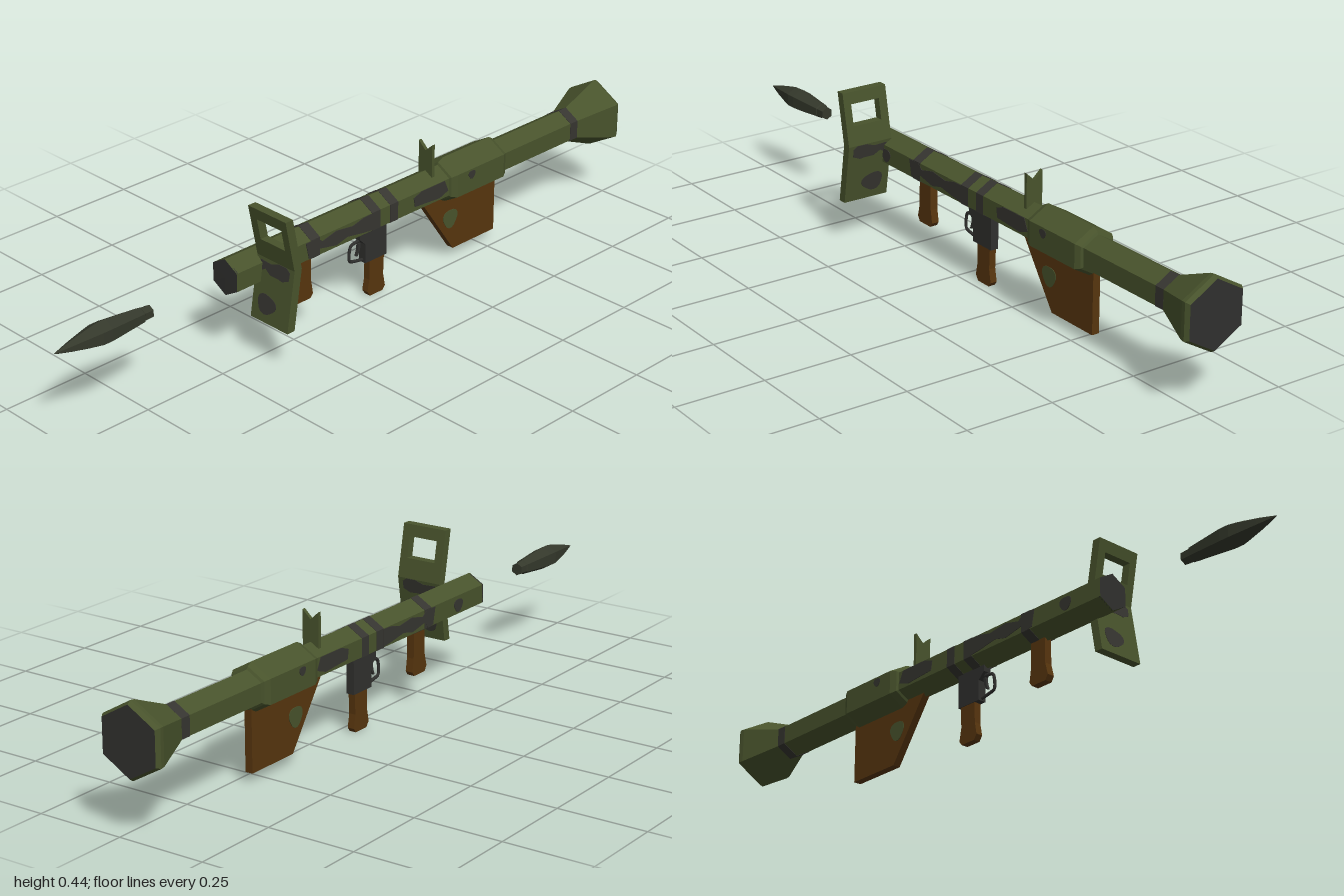
import * as THREE from 'three';

const AX = -0.0375, AY = 0.248; // axis of the tube

const paint = (name, color) => {
  const m = new THREE.MeshStandardMaterial({ color });
  m.name = name;
  return m;
};

// hard-edged faces
function facet(geo) {
  const g = geo.index ? geo.toNonIndexed() : geo;
  g.computeVertexNormals();
  return g;
}

export function createModel() {
  const green = paint('olive green', 0x48532c);
  const dark = paint('camouflage grey', 0x363530);
  const metal = paint('dark metal', 0x30302e);
  const wood = paint('brown wood', 0x57350e);
  const shell = paint('rocket grey green', 0x34382b);

  const model = new THREE.Group();
  const add = (name, geo, mat) => {
    const mesh = new THREE.Mesh(geo, mat);
    mesh.name = name;
    model.add(mesh);
    return mesh;
  };
  const shapeOf = (pts) => new THREE.Shape(pts.map(([a, b]) => new THREE.Vector2(a, b)));

  // six-sided body around the tube axis, from [radius, z] pairs in rising z
  const hex = (name, pts, mat) => {
    const g = new THREE.LatheGeometry(pts.map(([r, z]) => new THREE.Vector2(r, z)), 6);
    g.rotateX(Math.PI / 2).translate(AX, AY, 0);
    return add(name, facet(g), mat);
  };
  // side profile in [z, y], extruded across x
  const slab = (name, pts, width, mat, x = AX) => {
    const g = new THREE.ExtrudeGeometry(shapeOf(pts), { depth: width, bevelEnabled: false });
    g.rotateY(-Math.PI / 2).translate(x + width / 2, 0, 0);
    return add(name, g, mat);
  };
  // irregular rounded outline
  const blob = (cx, cy, rx, ry, phase = 0, n = 18) => Array.from({ length: n }, (_, i) => {
    const a = (i / n) * Math.PI * 2;
    const k = 0.93 + 0.09 * Math.sin(3 * a + phase);
    return [cx + rx * k * Math.cos(a), cy + ry * k * Math.sin(a)];
  });

  // launch tube, sleeve and flared rear
  hex('tube', [[0.052, -0.87], [0.052, 0.45]], green);
  hex('muzzleCap', [[0, 0.445], [0.052, 0.445], [0.052, 0.45], [0, 0.4505]], metal);
  hex('sleeve', [[0.05, -0.555], [0.059, -0.55], [0.068, -0.535], [0.068, -0.35], [0.059, -0.332], [0.05, -0.328]], green);
  hex('rearFlare', [[0.093, -1], [0.101, -0.988], [0.099, -0.975], [0.053, -0.862], [0.05, -0.858]], green);
  hex('rearCap', [[0, -1], [0.093, -1], [0.093, -0.998]], metal);

  // camouflage bands around the tube
  for (const [z0, z1] of [[-0.862, -0.832], [-0.13, -0.1], [-0.063, -0.032], [0.16, 0.192]]) {
    hex('camouflageBand', [[0.05, z0], [0.0532, z0], [0.0532, z1], [0.05, z1]], dark);
  }
  // camouflage patches on both flat sides
  for (const s of [-1, 1]) {
    const x = AX + s * 0.0447;
    slab('camouflagePatch', [[0.21, 0.272], [0.2, 0.225], [0.175, 0.222], [0.16, 0.24], [0.1, 0.228], [0.06, 0.238],
      [0, 0.228], [-0.035, 0.224], [-0.035, 0.273], [0.0, 0.272], [0.04, 0.262], [0.1, 0.27], [0.15, 0.258], [0.17, 0.273]], 0.004, dark, x);
    slab('camouflagePatch', [[-0.195, 0.235], [-0.19, 0.262], [-0.22, 0.273], [-0.31, 0.273], [-0.325, 0.24], [-0.29, 0.228], [-0.24, 0.232]], 0.004, dark, x);
    slab('camouflagePatch', blob(0.325, 0.247, 0.022, 0.02), 0.004, dark, x);
    slab('sleeveSpot', blob(-0.405, 0.266, 0.014, 0.013), 0.004, dark, AX + s * 0.0583);
  }

  // wooden stock and grips
  slab('stock', [[-0.25, 0.22], [-0.265, 0.2], [-0.385, 0.027], [-0.552, 0.027], [-0.552, 0.22]], 0.022, wood);
  slab('stockSpot', blob(-0.372, 0.125, 0.03, 0.03), 0.025, green);
  slab('frontGrip', [[0.212, 0.22], [0.213, 0.13], [0.222, 0.095], [0.213, 0.08], [0.163, 0.08], [0.154, 0.092], [0.16, 0.13], [0.16, 0.22]], 0.022, wood);
  slab('rearGrip', [[-0.058, 0.115], [-0.057, 0.05], [-0.05, 0.015], [-0.06, 0], [-0.108, 0], [-0.117, 0.012], [-0.11, 0.05], [-0.113, 0.115]], 0.02, wood);

  // trigger group
  slab('triggerHousing', [[-0.018, 0.22], [-0.02, 0.185], [-0.04, 0.165], [-0.04, 0.108], [-0.12, 0.108], [-0.12, 0.22]], 0.024, metal);
  const loop = [[-0.03, 0.178], [0.003, 0.172], [0.01, 0.145], [0.006, 0.125], [-0.042, 0.115]];
  const guard = new THREE.CatmullRomCurve3(loop.map(([z, y]) => new THREE.Vector3(AX, y, z)), false, 'catmullrom', 0.3);
  add('triggerGuard', new THREE.TubeGeometry(guard, 16, 0.0045, 6), metal);
  slab('trigger', [[-0.022, 0.17], [-0.03, 0.17], [-0.028, 0.15], [-0.02, 0.135], [-0.014, 0.135], [-0.02, 0.152]], 0.008, metal);

  // notched rear sight
  const notch = new THREE.ExtrudeGeometry(shapeOf([[-0.025, 0.28], [0.025, 0.28], [0.025, 0.383], [0, 0.36], [-0.025, 0.383]]),
    { depth: 0.01, bevelEnabled: false });
  add('rearSight', notch.translate(AX, 0, -0.291), green);

  // bent front shield with a sighting window
  const bendY = 0.29;
  const bent = (name, shape, depth, z, mat) => {
    const g = new THREE.ExtrudeGeometry(shape, { depth, bevelEnabled: false });
    const p = g.attributes.position;
    for (let i = 0; i < p.count; i++) {
      const d = p.getY(i) - bendY;
      p.setZ(i, p.getZ(i) + z + (d > 0 ? d * 0.19 : -d * 0.165));
    }
    g.computeVertexNormals();
    return add(name, g, mat);
  };
  const rect = (x0, x1, y0, y1) => [[x0, y0], [x1, y0], [x1, y1], [x0, y1]];
  const upper = shapeOf(rect(-0.015, 0.123, bendY, 0.438));
  upper.holes.push(shapeOf(rect(0.01, 0.1, 0.345, 0.405)));
  bent('shieldUpper', upper, 0.025, 0.333, green);
  bent('shieldLower', shapeOf(rect(-0.015, 0.123, 0.12, bendY)), 0.025, 0.333, green);
  const smear = [[0.0, 0.25], [0.02, 0.262], [0.04, 0.25], [0.07, 0.25], [0.085, 0.248], [0.107, 0.258], [0.108, 0.28],
    [0.095, 0.289], [0.065, 0.289], [0.04, 0.28], [0.0, 0.282]];
  for (const z of [0.357, 0.332]) {
    bent('shieldSmear', shapeOf(smear), 0.002, z, dark);
    bent('shieldSpot', shapeOf(blob(0.037, 0.17, 0.036, 0.029, 1)), 0.002, z, dark);
  }

  // rocket in flight ahead of the muzzle
  hex('rocketBody', [[0, 0.7], [0.018, 0.7], [0.019, 0.727], [0.022, 0.73], [0.033, 0.84], [0.033, 0.868]], shell);
  hex('rocketNose', [[0.033, 0.868], [0.028, 0.893], [0.016, 0.945], [0.005, 0.985], [0, 1]], shell);

  return model;
}
